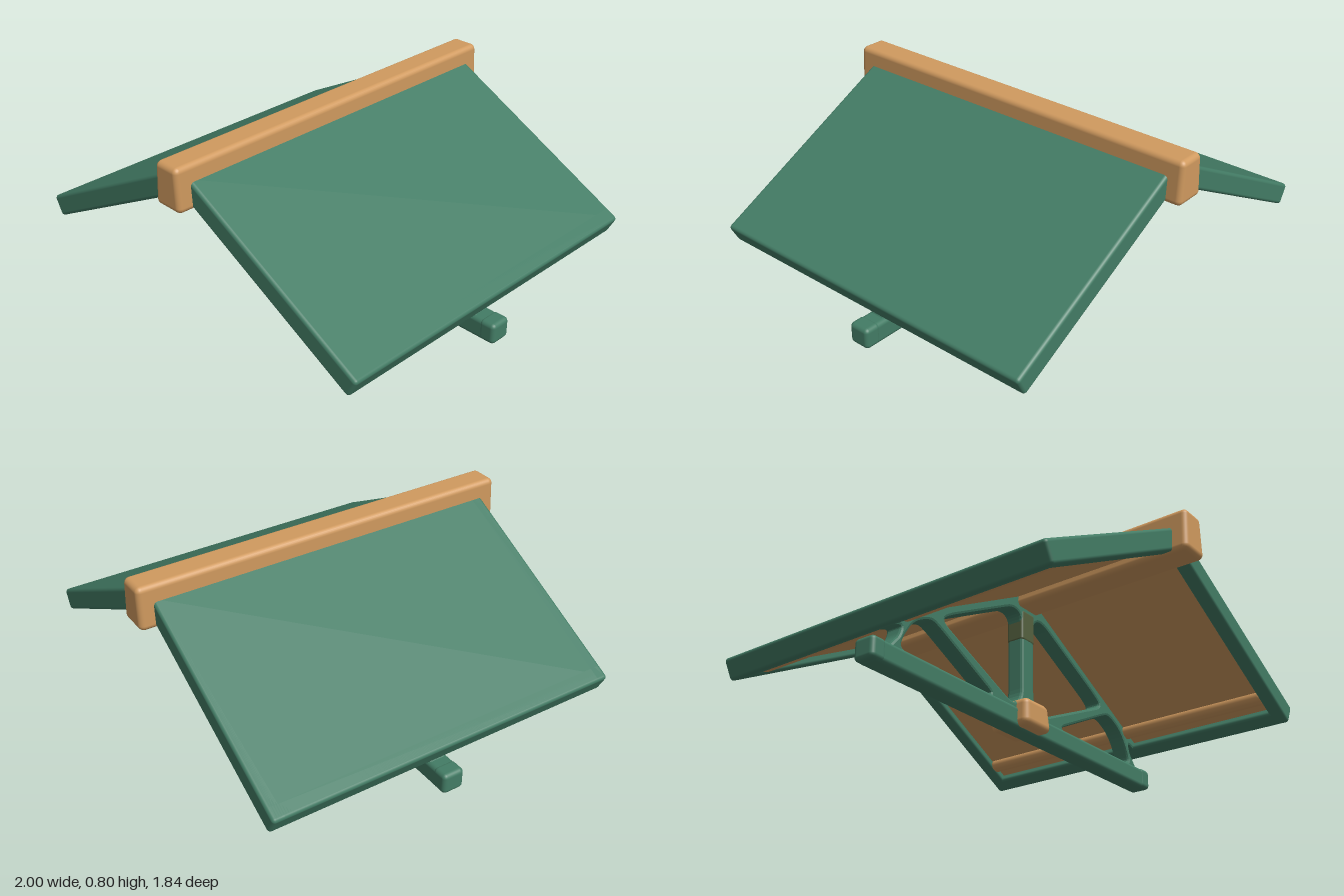
import * as THREE from 'three';
import { RoundedBoxGeometry } from 'three/addons/geometries/RoundedBoxGeometry.js';

const material = (name, color) => Object.assign(new THREE.MeshStandardMaterial({ color }), { name });

// Rounded box spanning min..max corners, optionally narrowed in x and z towards the top
function block(name, mat, min, max, radius, taperX = 0, taperZ = 0) {
  const size = max.map((v, i) => v - min[i]);
  const geo = new RoundedBoxGeometry(...size, 3, radius);
  if (taperX || taperZ) {
    const p = geo.attributes.position;
    for (let i = 0; i < p.count; i++) {
      const t = p.getY(i) / size[1] + 0.5;
      p.setX(i, p.getX(i) * (1 - taperX * t));
      p.setZ(i, p.getZ(i) * (1 - taperZ * t));
    }
  }
  const mesh = new THREE.Mesh(geo, mat);
  mesh.name = name;
  mesh.position.set(...max.map((v, i) => (v + min[i]) / 2));
  return mesh;
}

// Closed polygon with softened corners
function softPolygon(points, radius, PathType) {
  const path = new PathType();
  const pts = points.map(([x, y]) => new THREE.Vector2(x, y));
  pts.forEach((p, i) => {
    const towards = (q) => {
      const d = q.clone().sub(p);
      return p.clone().add(d.multiplyScalar(Math.min(radius / d.length(), 0.48)));
    };
    const a = towards(pts[(i + pts.length - 1) % pts.length]);
    const b = towards(pts[(i + 1) % pts.length]);
    if (i === 0) path.moveTo(a.x, a.y);
    else path.lineTo(a.x, a.y);
    path.quadraticCurveTo(p.x, p.y, b.x, b.y);
  });
  path.closePath();
  return path;
}

const mirrorX = (points) => points.map(([x, y]) => [-x, y]).reverse();

// Post, diagonals, struts and rafters as one pierced web
function trussWeb(mat) {
  const side = [[0.92, 0.04], [0.89, 0.1], [0.845, 0.15], [0.83, 0.2], [0.9, 0.175], [0.92, 0.217], [0.04, 0.675]];
  const upperHole = [[0.045, 0.15], [0.11, 0.108], [0.59, 0.32], [0.54, 0.358], [0.11, 0.58], [0.045, 0.56]];
  const lowerHole = [[0.24, 0.098], [0.83, 0.098], [0.825, 0.14], [0.76, 0.245], [0.66, 0.295], [0.61, 0.278]];
  const shape = softPolygon([...side, ...mirrorX(side)], 0.02, THREE.Shape);
  for (const hole of [upperHole, lowerHole]) {
    shape.holes.push(softPolygon(hole, 0.05, THREE.Path), softPolygon(mirrorX(hole), 0.05, THREE.Path));
  }
  const geo = new THREE.ExtrudeGeometry(shape, {
    depth: 0.06, bevelEnabled: true, bevelThickness: 0.012, bevelSize: 0.012,
    bevelOffset: -0.012, bevelSegments: 2, curveSegments: 5,
  });
  geo.translate(0, 0, -0.03);
  const mesh = new THREE.Mesh(geo, mat);
  mesh.name = 'trussWeb';
  return mesh;
}

// One sloping roof side: local x runs down the slope, local y points outward
function roofSide(name, green, tan) {
  const slope = new THREE.Group();
  const top = -0.03, eave = 1.033, half = 0.85, rim = 0.07, r = 0.016;
  slope.add(
    block('roofPlate', green, [top, -0.06, -half], [eave, 0, half], r),
    block('eaveRim', green, [eave - 0.08, -0.1, -half], [eave, 0, half], r),
    block('frontGableRim', green, [top, -0.1, half - rim], [eave, 0, half], r),
    block('backGableRim', green, [top, -0.1, -half], [eave, 0, rim - half], r),
    block('roofLining', tan, [top, -0.066, rim - half - 0.01], [eave - 0.07, -0.058, half - rim + 0.01], 0.002),
    block('purlin', tan, [0.84, -0.098, rim - half - 0.02], [0.91, -0.03, half - rim + 0.02], 0.03),
  );
  slope.position.set(0.07, 0.72, 0);
  slope.rotation.z = -Math.atan2(0.48, 0.915);
  const group = new THREE.Group();
  group.name = name;
  group.add(slope);
  return group;
}

export function createModel() {
  const green = material('paintedGreen', 0x437c65);
  const tan = material('tanWood', 0xd09a5f);
  const olive = material('oliveWood', 0x55613f);
  const model = new THREE.Group();
  model.name = 'roofTruss';

  // Roof covering
  const left = roofSide('leftRoof', green, tan);
  const right = roofSide('rightRoof', green, tan);
  right.rotation.y = Math.PI;
  model.add(left, right);

  // Ridge beam
  model.add(block('ridgeBeam', tan, [-0.077, 0.6, -0.92], [0.077, 0.8, 0.92], 0.025, 0.18, 0));

  // Truss
  model.add(
    trussWeb(green),
    block('bottomChord', green, [-0.98, 0, -0.05], [0.98, 0.098, 0.05], 0.02),
    block('postSleeve', olive, [-0.047, 0.44, -0.044], [0.047, 0.59, 0.044], 0.012),
    block('centreBlock', tan, [-0.095, 0.008, -0.105], [0.095, 0.14, 0.105], 0.03, 0.14, 0.1),
  );
  for (const s of [-1, 1]) {
    const end = block('chordEnd', green, [-0.04, 0.002, -0.052], [0.04, 0.1, 0.052], 0.02);
    end.position.x = s * 0.96;
    model.add(end);
  }
  return model;
}
